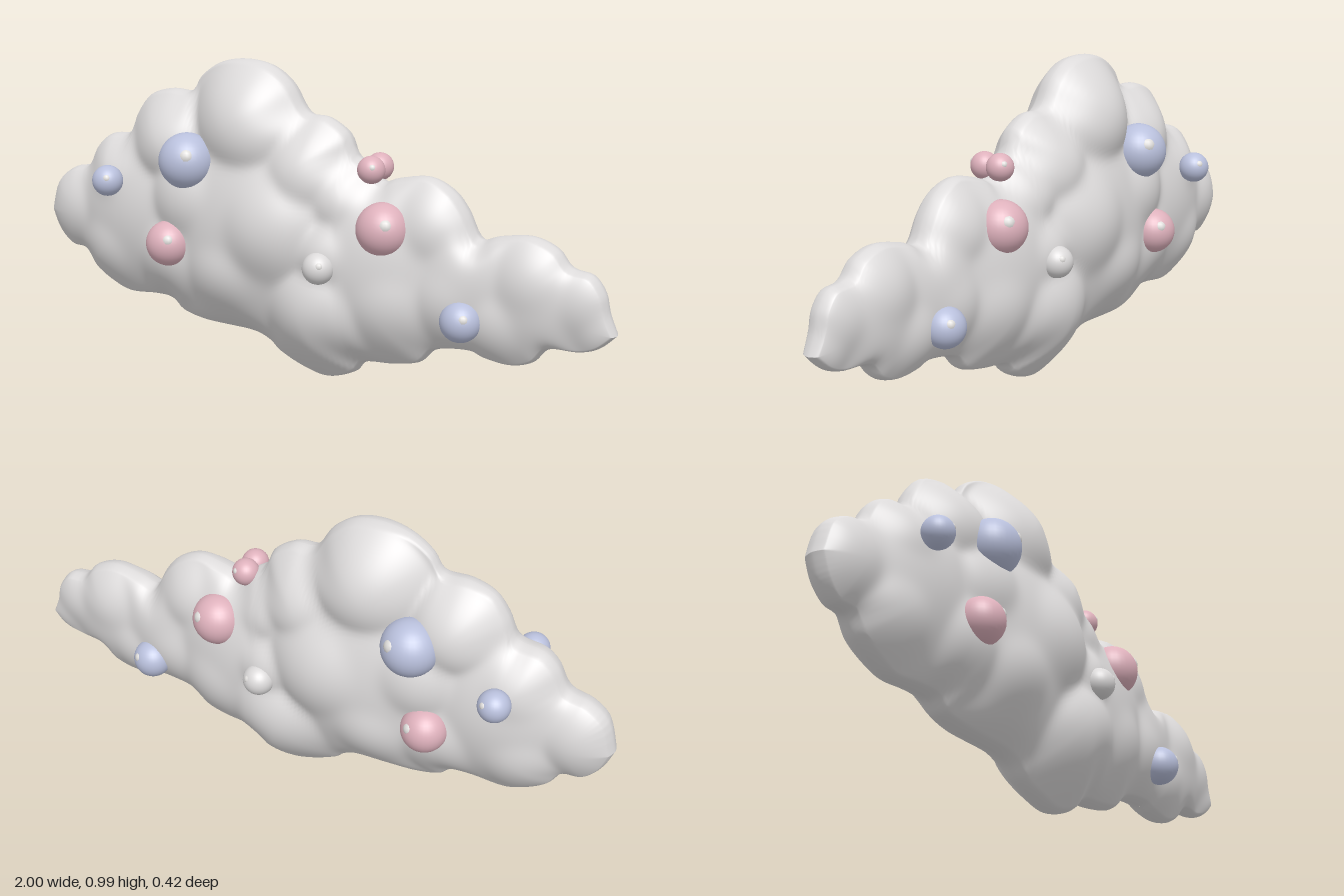
import * as THREE from 'three';

const mat = (name, color) => {
  const m = new THREE.MeshStandardMaterial({ color });
  m.name = name;
  return m;
};
const spline = (points) =>
  new THREE.SplineCurve(points.map(([x, y]) => new THREE.Vector2(x, y))).getPoints(140);

// Upper and lower outline of the cloud, left to right
const TOP = spline([
  [-1, 0.43], [-0.97, 0.53], [-0.91, 0.58], [-0.84, 0.6], [-0.8, 0.67], [-0.75, 0.71],
  [-0.67, 0.725], [-0.64, 0.79], [-0.59, 0.855], [-0.51, 0.88], [-0.43, 0.88], [-0.39, 0.935],
  [-0.32, 0.98], [-0.23, 0.995], [-0.14, 0.98], [-0.07, 0.93], [-0.03, 0.865], [0, 0.84],
  [0.06, 0.835], [0.13, 0.79], [0.155, 0.73], [0.2, 0.7], [0.25, 0.655], [0.3, 0.67],
  [0.4, 0.685], [0.48, 0.65], [0.53, 0.59], [0.57, 0.515], [0.63, 0.53], [0.73, 0.543],
  [0.81, 0.515], [0.855, 0.465], [0.92, 0.45], [0.96, 0.4], [0.975, 0.34], [1, 0.28],
]);
const BOTTOM = spline([
  [-1, 0.43], [-0.97, 0.36], [-0.92, 0.31], [-0.86, 0.3], [-0.82, 0.245], [-0.75, 0.2],
  [-0.68, 0.175], [-0.58, 0.18], [-0.51, 0.175], [-0.47, 0.14], [-0.39, 0.12], [-0.31, 0.115],
  [-0.2, 0.11], [-0.14, 0.09], [-0.1, 0.055], [-0.02, 0.02], [0.07, 0], [0.16, 0.03],
  [0.2, 0.07], [0.3, 0.08], [0.385, 0.1], [0.44, 0.15], [0.55, 0.165], [0.6, 0.15],
  [0.68, 0.14], [0.75, 0.16], [0.8, 0.21], [0.89, 0.215], [0.95, 0.235], [1, 0.28],
]);

// Puffs that swell out of the cloud: x, y, radius, depth
const PUFFS = [
  [-0.2, 0.45, 0.45, 0.175], [-0.6, 0.47, 0.34, 0.135], [0.2, 0.38, 0.38, 0.15],
  [0.5, 0.38, 0.28, 0.105], [0.72, 0.34, 0.23, 0.085],
  [-0.2, 0.78, 0.24, 0.16], [-0.48, 0.7, 0.2, 0.14], [-0.68, 0.57, 0.18, 0.125],
  [-0.86, 0.45, 0.18, 0.09], [-0.7, 0.36, 0.2, 0.12], [-0.45, 0.36, 0.24, 0.155],
  [-0.25, 0.34, 0.25, 0.18], [0.07, 0.25, 0.27, 0.188], [0.28, 0.3, 0.24, 0.15],
  [-0.1, 0.48, 0.3, 0.203], [-0.38, 0.54, 0.25, 0.17], [0, 0.65, 0.21, 0.15],
  [0.12, 0.58, 0.18, 0.13], [0.1, 0.42, 0.2, 0.17], [0.41, 0.52, 0.18, 0.105],
  [0.47, 0.33, 0.2, 0.115], [0.63, 0.28, 0.17, 0.095], [0.73, 0.4, 0.17, 0.092],
  [0.87, 0.36, 0.14, 0.062], [0.93, 0.29, 0.1, 0.042],
];
const SOFT = 0.008;

// Height of an outline at x
function heightAt(line, x) {
  let i = 1;
  while (i < line.length - 1 && line[i].x < x) i++;
  const a = line[i - 1], b = line[i];
  return THREE.MathUtils.lerp(a.y, b.y, (x - a.x) / (b.x - a.x));
}

// Distance from a point to an outline
function distanceTo(line, x, y) {
  let best = Infinity;
  for (let i = 1; i < line.length; i++) {
    const a = line[i - 1], dx = line[i].x - a.x, dy = line[i].y - a.y;
    const t = ((x - a.x) * dx + (y - a.y) * dy) / (dx * dx + dy * dy);
    const s = Math.min(1, Math.max(0, t));
    best = Math.min(best, Math.hypot(x - a.x - s * dx, y - a.y - s * dy));
  }
  return best;
}

// Softly blended depth of all puffs, tapering to a thin rounded rim
function depth(x, y) {
  let sum = Math.exp(0.022 / SOFT);
  for (const [px, py, r, d] of PUFFS) {
    const q = ((x - px) ** 2 + (y - py) ** 2) / (r * r);
    sum += Math.exp((d * (1 - q)) / SOFT);
  }
  const puffed = SOFT * Math.log(sum);
  const edge = Math.min(distanceTo(TOP, x, y), distanceTo(BOTTOM, x, y));
  const taper = 0.025 * Math.min(1, Math.sqrt(edge / 0.01)) + 1.25 * edge + 1e-6;
  return (puffed ** -6 + taper ** -6) ** (-1 / 6);
}

// One half of the cloud, front (side = 1) or back (side = -1)
function cloudHalf(side) {
  const g = new THREE.PlaneGeometry(2, 2, 260, 80);
  if (side < 0) g.rotateY(Math.PI);
  const p = g.attributes.position;
  for (let i = 0; i < p.count; i++) {
    const x = Math.sin((p.getX(i) * Math.PI) / 2);
    const v = 0.5 + 0.5 * Math.sin((p.getY(i) * Math.PI) / 2);
    const y = THREE.MathUtils.lerp(heightAt(BOTTOM, x), heightAt(TOP, x), v);
    p.setXYZ(i, x, y, side * depth(x, y));
  }
  g.computeVertexNormals();
  return g;
}

export function createModel() {
  const model = new THREE.Group();
  model.name = 'cloud';
  const grey = mat('cloudGrey', 0xdcdada);
  const blue = mat('paleBlue', 0xb9c0dc);
  const pink = mat('palePink', 0xdeb1bc);
  const shine = mat('highlight', 0xe0dedc);

  const add = (name, geometry, material, x = 0, y = 0, z = 0) => {
    const mesh = new THREE.Mesh(geometry, material);
    mesh.name = name;
    mesh.position.set(x, y, z);
    model.add(mesh);
  };

  add('cloudFront', cloudHalf(1), grey);
  add('cloudBack', cloudHalf(-1), grey);

  // Bubbles on both faces: colour, x, y, z, radius
  const bubbles = [
    [blue, -0.385, 0.675, 0.12, 0.09], [pink, -0.45, 0.402, 0.137, 0.073],
    [blue, -0.67, 0.587, 0.155, 0.05], [pink, 0.29, 0.528, 0.088, 0.083],
    [grey, 0.108, 0.4, 0.16, 0.05], [blue, 0.55, 0.28, 0.093, 0.063],
    [pink, 0.22, 0.692, 0.03, 0.043],
  ];
  for (const side of [1, -1]) {
    for (const [material, x, y, z, r] of bubbles) {
      add('bubble', new THREE.SphereGeometry(r, 32, 20), material, x, y, side * z);
      // Small shiny spot
      add('bubbleHighlight', new THREE.SphereGeometry(r * 0.31, 14, 10), shine,
        x + r * 0.36, y + r * 0.28, side * (z + r * 0.59));
    }
  }
  return model;
}
